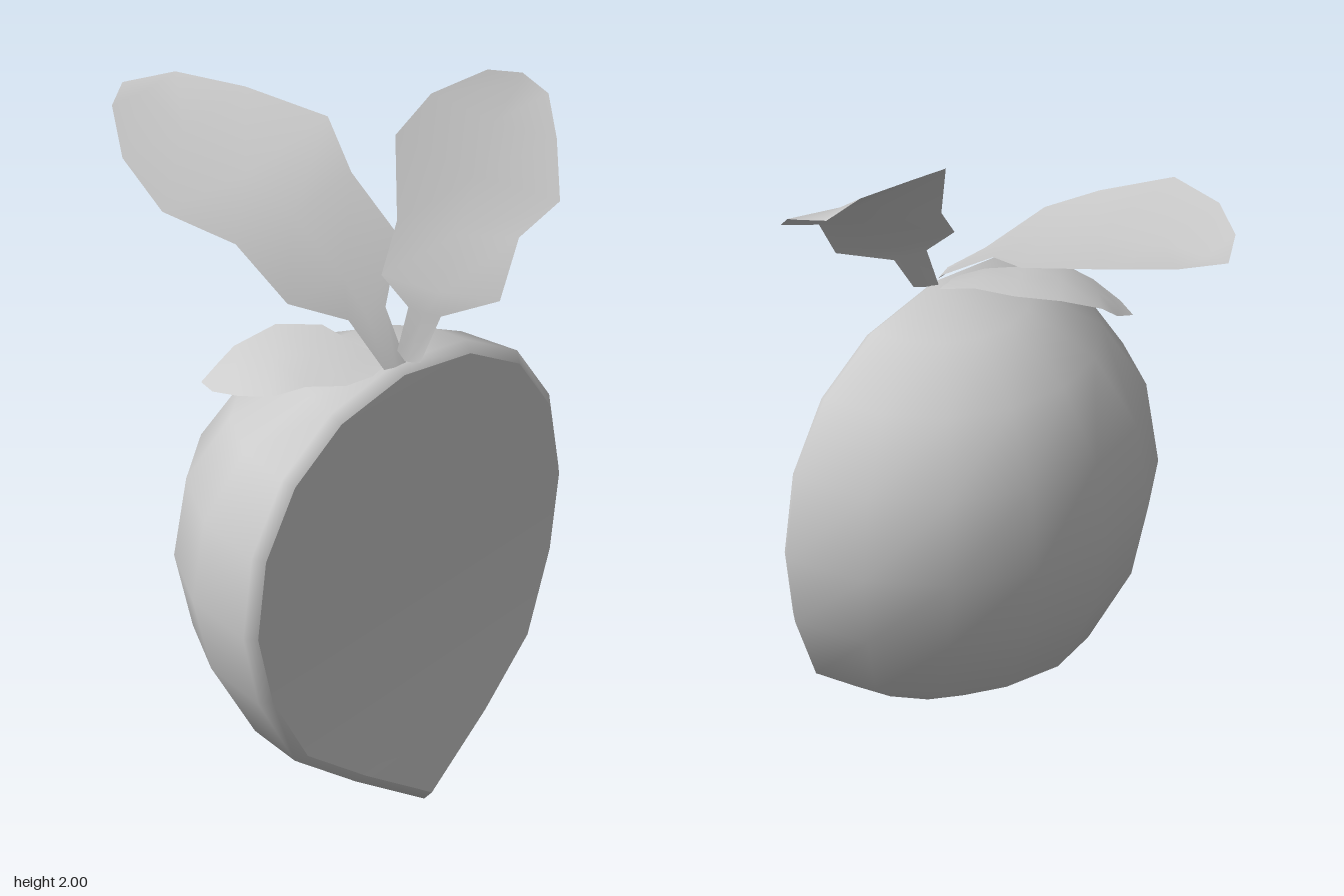
import * as THREE from 'three';
import { mergeVertices } from 'three/addons/utils/BufferGeometryUtils.js';

// Cut plane: A runs along the cut, N points out of it
const A = new THREE.Vector3(0.59, 0, -0.81);
const N = new THREE.Vector3(0.81, 0, 0.59);
const SEGMENTS = 8;
const BEVEL = 0.03;

// Rows of the half root: radius, height, offset of the cut along N, extra bulge at the back
const ROWS = [
  [0, 0.0, 0.36, 0], [0.25, 0.16, 0.335, 0.03], [0.46, 0.31, 0.305, 0.03], [0.58, 0.54, 0.28, 0.01],
  [0.63, 0.77, 0.27, 0], [0.595, 1.02, 0.268, 0], [0.47, 1.22, 0.265, 0],
  [0.27, 1.345, 0.26, 0], [0, 1.39, 0.255, 0],
];

// Smooth sheet through rows of points
function sheet(rows) {
  const n = rows[0].length;
  const index = [];
  for (let j = 0; j < rows.length - 1; j++) {
    for (let i = 0; i < n - 1; i++) {
      const a = j * n + i;
      index.push(a, a + 1, a + n + 1, a, a + n + 1, a + n);
    }
  }
  const raw = new THREE.BufferGeometry().setFromPoints(rows.flat());
  raw.setIndex(index);
  const geometry = mergeVertices(raw, 1e-5);
  geometry.computeVertexNormals();
  return geometry;
}

function part(name, geometry, side = THREE.FrontSide) {
  const mesh = new THREE.Mesh(geometry, new THREE.MeshStandardMaterial({ color: 0xcccccc, side }));
  mesh.name = name;
  return mesh;
}

// Point at distance u along the cut, depth d behind it and height y
const place = (u, d, y, offset) => new THREE.Vector3(0, y, 0)
  .addScaledVector(A, u + 0.077).addScaledVector(N, offset - d);

function halfRoot() {
  const rows = ROWS.map(([r, y, offset, bulge]) => {
    const innerY = 0.75 + (y - 0.75) * 0.955;
    const inner = (sign) => place(sign * r * 0.955, 0, innerY, offset);
    const row = [inner(1)];
    for (let i = 0; i <= SEGMENTS; i++) {
      const t = (i / SEGMENTS) * Math.PI;
      row.push(place(r * Math.cos(t), BEVEL + (r + bulge) * Math.sin(t), y, offset));
    }
    row.push(inner(-1));
    return row;
  });
  const root = new THREE.Group();
  root.name = 'halfRoot';
  root.add(part('skin', sheet(rows)));
  root.add(part('cutFace', sheet(rows.map((row) => [row[row.length - 1], row[0]]))));
  return root;
}

// Leaf from pairs of edge points [left xyz, right xyz], with a sunken midrib
function leaf(name, pairs, sag) {
  const rows = pairs.map(([lx, ly, lz, rx, ry, rz]) => {
    const left = new THREE.Vector3(lx, ly, lz);
    const right = new THREE.Vector3(rx, ry, rz);
    const middle = left.clone().lerp(right, 0.5);
    middle.y -= sag * left.distanceTo(right);
    return [left, middle, right];
  });
  return part(name, sheet(rows), THREE.DoubleSide);
}

export function createModel() {
  const model = new THREE.Group();
  model.name = 'halvedRadish';
  model.add(halfRoot());

  model.add(leaf('largeLeaf', [
    [0.2, 1.4, 0.13, 0.25, 1.38, 0.05],
    [0.09, 1.51, 0.06, 0.18, 1.5, -0.04],
    [-0.07, 1.6, 0.14, 0.19, 1.6, -0.25],
    [-0.23, 1.72, 0.04, 0.04, 1.73, -0.36],
    [-0.44, 1.79, 0.01, -0.05, 1.8, -0.53],
    [-0.58, 1.83, -0.19, -0.29, 1.84, -0.59],
    [-0.64, 1.86, -0.41, -0.49, 1.86, -0.61],
    [-0.63, 1.85, -0.55, -0.63, 1.85, -0.55],
  ], 0.05));

  model.add(leaf('uprightLeaf', [
    [0.22, 1.39, 0.05, 0.29, 1.38, 0.05],
    [0.25, 1.53, 0, 0.34, 1.5, -0.01],
    [0.17, 1.61, -0.03, 0.5, 1.54, -0.05],
    [0.2, 1.73, -0.13, 0.54, 1.69, -0.15],
    [0.18, 1.94, -0.24, 0.64, 1.75, -0.26],
    [0.26, 1.99, -0.39, 0.61, 1.86, -0.41],
    [0.4, 2, -0.52, 0.57, 1.93, -0.53],
    [0.49, 1.96, -0.58, 0.49, 1.96, -0.58],
  ], 0.05));

  model.add(leaf('smallLeaf', [
    [0.22, 1.38, 0.09, 0.24, 1.38, 0.04],
    [0.1, 1.37, 0.18, 0.12, 1.4, 0.02],
    [-0.01, 1.37, 0.2, 0, 1.42, -0.05],
    [-0.1, 1.36, 0.25, -0.13, 1.41, -0.05],
    [-0.2, 1.33, 0.21, -0.24, 1.36, 0],
    [-0.28, 1.3, 0.15, -0.28, 1.32, 0.03],
    [-0.32, 1.29, 0.09, -0.32, 1.29, 0.09],
  ], -0.03));

  return model;
}
